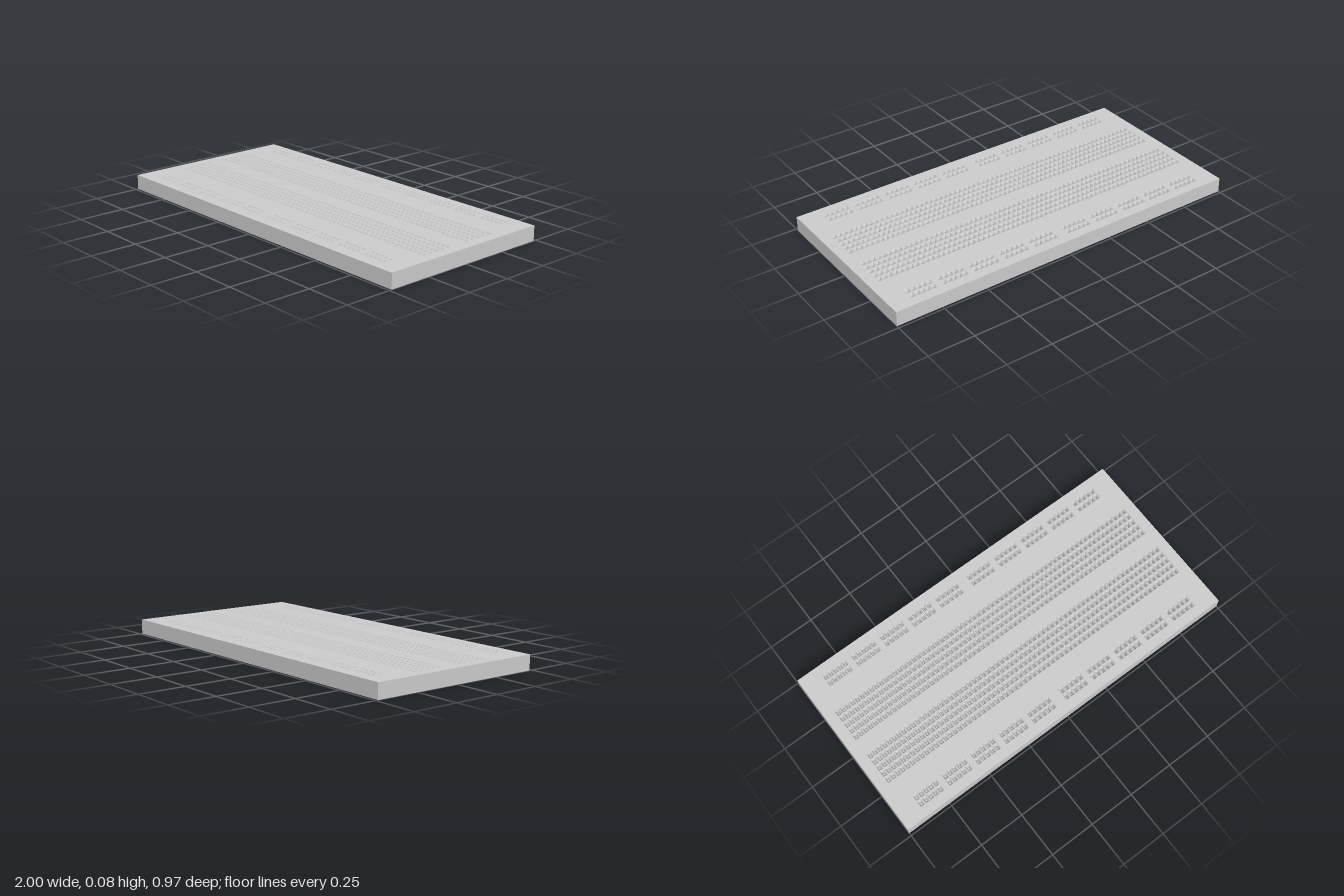
import * as THREE from 'three';
import { mergeGeometries } from 'three/addons/utils/BufferGeometryUtils.js';

const W = 2, D = 0.97, H = 0.08;           // board size
const PITCH_X = 0.0295, PITCH_Z = 0.039;   // socket spacing
const HOLE_X = 0.024, HOLE_Z = 0.032;      // socket mouth
const COLS = 64;

// Centres of all sockets as [x, z]
function socketCentres() {
  const list = [];
  const colX = (c) => (c - (COLS - 1) / 2) * PITCH_X;
  for (const side of [-1, 1]) {
    // terminal strips: five rows on each side of the centre channel
    for (let r = 0; r < 5; r++)
      for (let c = 0; c < COLS; c++) list.push([colX(c), side * (0.062 + r * PITCH_Z)]);
    // power rails: ten groups of five, two rows, with a wider gap in the middle
    for (let r = 0; r < 2; r++)
      for (let g = 0; g < 10; g++)
        for (let i = 0; i < 5; i++)
          list.push([colX(2 + g * 6 + (g > 4 ? 1 : 0) + i), side * (0.375 + r * PITCH_Z)]);
  }
  return list;
}

// Flat top with a rectangular opening for each socket
function topGeometry(centres) {
  const rect = (path, x, y, w, d) => {
    path.moveTo(x - w / 2, y - d / 2);
    path.lineTo(x + w / 2, y - d / 2);
    path.lineTo(x + w / 2, y + d / 2);
    path.lineTo(x - w / 2, y + d / 2);
    path.closePath();
    return path;
  };
  const shape = rect(new THREE.Shape(), 0, 0, W, D);
  for (const [x, z] of centres) shape.holes.push(rect(new THREE.Path(), x, -z, HOLE_X, HOLE_Z));
  return new THREE.ShapeGeometry(shape).rotateX(-Math.PI / 2).translate(0, H, 0);
}

// Four-sided well: sloping mouth, straight shaft and floor, facing inwards
function socketGeometry() {
  const s = Math.SQRT1_2;
  const profile = [[s, H], [s * 0.55, H - 0.012], [s * 0.55, H - 0.05], [0, H - 0.05]]
    .map(([r, y]) => new THREE.Vector2(r, y));
  const geo = new THREE.LatheGeometry(profile, 4)
    .rotateY(Math.PI / 4)
    .scale(HOLE_X, 1, HOLE_Z)
    .toNonIndexed();
  geo.computeVertexNormals();
  return geo;
}

export function createModel() {
  const group = new THREE.Group();
  const material = new THREE.MeshStandardMaterial({ color: 0xcccccc, side: THREE.DoubleSide });
  const add = (name, geo) => {
    const mesh = new THREE.Mesh(geo, material);
    mesh.name = name;
    group.add(mesh);
  };
  const centres = socketCentres();

  // Board sides and underside: a box without its top face
  const box = new THREE.BoxGeometry(W, H, D).translate(0, H / 2, 0);
  const index = Array.from(box.index.array);
  index.splice(12, 6);
  box.setIndex(index);
  box.clearGroups();
  add('boardBody', box);

  add('boardTop', topGeometry(centres));

  const well = socketGeometry();
  add('sockets', mergeGeometries(centres.map(([x, z]) => well.clone().translate(x, 0, z))));

  return group;
}
